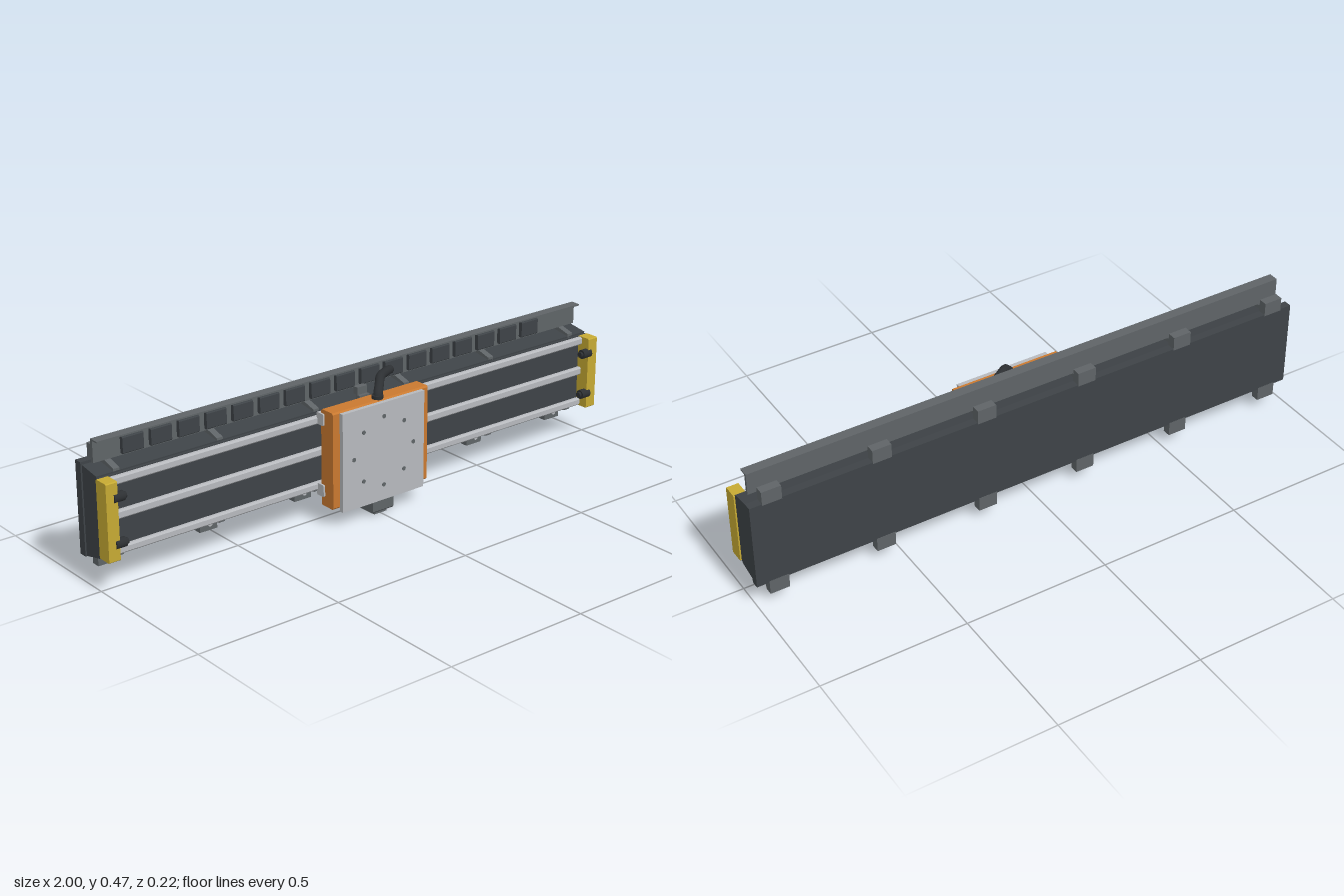
import * as THREE from 'three';

const paint = (name, color) => {
  const m = new THREE.MeshStandardMaterial({ color });
  m.name = name;
  return m;
};

export function createModel() {
  const model = new THREE.Group();
  model.name = 'linearStage';
  const dark = paint('charcoal', 0x3e4347);
  const grey = paint('mid grey', 0x5f6467);
  const light = paint('light metal', 0xb6b9bd);
  const orange = paint('orange', 0xc97930);
  const yellow = paint('yellow', 0xc6aa33);
  const rubber = paint('black rubber', 0x2d3033);

  const add = (name, geometry, material, parent = model) => {
    const mesh = new THREE.Mesh(geometry, material);
    mesh.name = name;
    parent.add(mesh);
    return mesh;
  };
  // Box given by its limits on each axis
  const box = (name, mat, [x0, x1], [y0, y1], [z0, z1], parent) => {
    const g = new THREE.BoxGeometry(x1 - x0, y1 - y0, z1 - z0);
    g.translate((x0 + x1) / 2, (y0 + y1) / 2, (z0 + z1) / 2);
    return add(name, g, mat, parent);
  };
  // Profile of [z, y] points extruded along x
  const prism = (name, mat, x0, x1, points, parent) => {
    const shape = new THREE.Shape(points.map(([z, y]) => new THREE.Vector2(-z, y)));
    const g = new THREE.ExtrudeGeometry(shape, { depth: x1 - x0, bevelEnabled: false });
    g.rotateY(Math.PI / 2).translate(x0, 0, 0);
    return add(name, g, mat, parent);
  };
  // Rectangle in [z, y] with cut corners
  const chamfered = (z0, z1, y0, y1, c) => [
    [z0 + c, y0], [z1 - c, y0], [z1, y0 + c], [z1, y1 - c],
    [z1 - c, y1], [z0 + c, y1], [z0, y1 - c], [z0, y0 + c]];
  const cylinder = (name, mat, r, h, axis, [x, y, z], parent) => {
    const g = new THREE.CylinderGeometry(r, r, h, 16);
    if (axis === 'x') g.rotateZ(Math.PI / 2);
    if (axis === 'z') g.rotateX(Math.PI / 2);
    return add(name, g.translate(x, y, z), mat, parent);
  };

  // Base plate and sloping body
  box('basePlate', dark, [-1, 1], [0.085, 0.39], [-0.107, -0.079]);
  prism('body', dark, -0.995, 0.995, [
    [-0.079, 0.086], [-0.003, 0.104], [-0.003, 0.109], [0.005, 0.109],
    [0.005, 0.364], [-0.003, 0.364], [-0.003, 0.369], [-0.079, 0.381]]);

  // Mounting tabs with gussets and screws, along both edges
  for (let i = 0; i < 6; i++) {
    const x = -0.925 + i * 0.37;
    const tab = new THREE.Group();
    tab.name = 'mountingTab';
    model.add(tab);
    box('upperTab', grey, [x - 0.033, x + 0.033], [0.385, 0.434], [-0.1075, -0.078], tab);
    box('lowerTab', grey, [x - 0.033, x + 0.033], [0.04, 0.09], [-0.1075, -0.078], tab);
    prism('upperGusset', grey, x - 0.011, x + 0.011,
      [[-0.079, 0.37], [-0.003, 0.36], [-0.003, 0.377], [-0.079, 0.398]], tab);
    prism('lowerGusset', grey, x - 0.011, x + 0.011,
      [[-0.079, 0.075], [-0.003, 0.096], [-0.003, 0.112], [-0.079, 0.1]], tab);
    for (const y of [0.41, 0.065]) cylinder('tabScrew', light, 0.008, 0.012, 'z', [x, y, -0.073], tab);
  }

  // Guide rails
  for (const [name, y0, y1] of [['upperRail', 0.335, 0.362], ['centreRail', 0.224, 0.252], ['lowerRail', 0.111, 0.137]])
    prism(name, light, -0.96, 0.96, chamfered(0.003, 0.022, y0, y1, 0.005));

  // End caps with rubber bumpers
  for (const s of [-1, 1]) {
    const [a, b] = s < 0 ? [-1, -0.96] : [0.96, 1];
    prism('endCap', yellow, a, b, chamfered(0.002, 0.054, 0.11, 0.364, 0.003));
    for (const y of [0.311, 0.163]) {
      cylinder('bumper', rubber, 0.016, 0.037, 'x', [s * 0.955, y, 0.045]);
      cylinder('bumperFoot', rubber, 0.01, 0.012, 'x', [s * 0.934, y, 0.045]);
    }
  }

  // Moving carriage
  const carriage = new THREE.Group();
  carriage.name = 'carriage';
  model.add(carriage);
  prism('carriageBody', orange, -0.194, 0.194, chamfered(0.033, 0.092, 0.064, 0.391, 0.005), carriage);
  for (const x of [-0.125, 0.125])
    for (const [y0, y1] of [[0.338, 0.378], [0.096, 0.136]])
      prism('bearingBlock', light, x - 0.075, x + 0.075, chamfered(0.017, 0.051, y0, y1, 0.003), carriage);
  box('coilBlock', dark, [-0.18, 0.18], [0.16, 0.31], [0.023, 0.035], carriage);
  box('topPlate', light, [-0.167, 0.167], [0.052, 0.386], [0.092, 0.107], carriage);
  for (const [x, y] of [[0, 0.34], [0, 0.105], [-0.122, 0.222], [0.122, 0.222],
    [-0.083, 0.305], [0.083, 0.305], [-0.083, 0.138], [0.083, 0.138]])
    cylinder('plateScrew', grey, 0.007, 0.005, 'z', [x, y, 0.1065], carriage);

  // Connector housing beneath the carriage
  prism('connectorHousing', grey, -0.043, 0.043, [
    [0.03, 0.012], [0.1, 0.012], [0.104, 0.017], [0.104, 0.064],
    [0.092, 0.085], [0.033, 0.085], [0.026, 0.078], [0.026, 0.017]], carriage);
  box('connectorFoot', grey, [-0.025, 0.025], [0, 0.013], [0.04, 0.09], carriage);

  // Cable from the carriage to the tray
  const path = new THREE.CatmullRomCurve3([
    [0, 0.388, 0.076], [0.004, 0.404, 0.072], [0.025, 0.421, 0.052],
    [0.055, 0.435, 0.022], [0.09, 0.434, 0], [0.13, 0.43, -0.022],
  ].map(p => new THREE.Vector3(...p)));
  add('cable', new THREE.TubeGeometry(path, 32, 0.015, 12), rubber, carriage);
  cylinder('cableGland', rubber, 0.019, 0.012, 'y', [0, 0.396, 0.073], carriage);
  box('sensorBlock', grey, [-0.04, 0], [0.395, 0.42], [0.003, 0.023], carriage);
  box('sensorArm', grey, [-0.04, 0], [0.375, 0.395], [0.015, 0.034], carriage);

  // Angled cable tray with a row of chain links
  prism('cableTray', grey, -0.98, 0.976, [
    [-0.05, 0.395], [-0.04, 0.395], [-0.04, 0.465], [-0.015, 0.465], [-0.015, 0.47], [-0.05, 0.47]]);
  for (let i = 0; i < 17; i++) {
    const x = -0.852 + i * 0.1;
    prism('chainLink', dark, x - 0.037, x + 0.037, chamfered(-0.034, -0.02, 0.405, 0.459, 0.003));
    box('linkMount', dark, [x - 0.025, x + 0.025], [0.412, 0.452], [-0.041, -0.033]);
  }
  return model;
}
